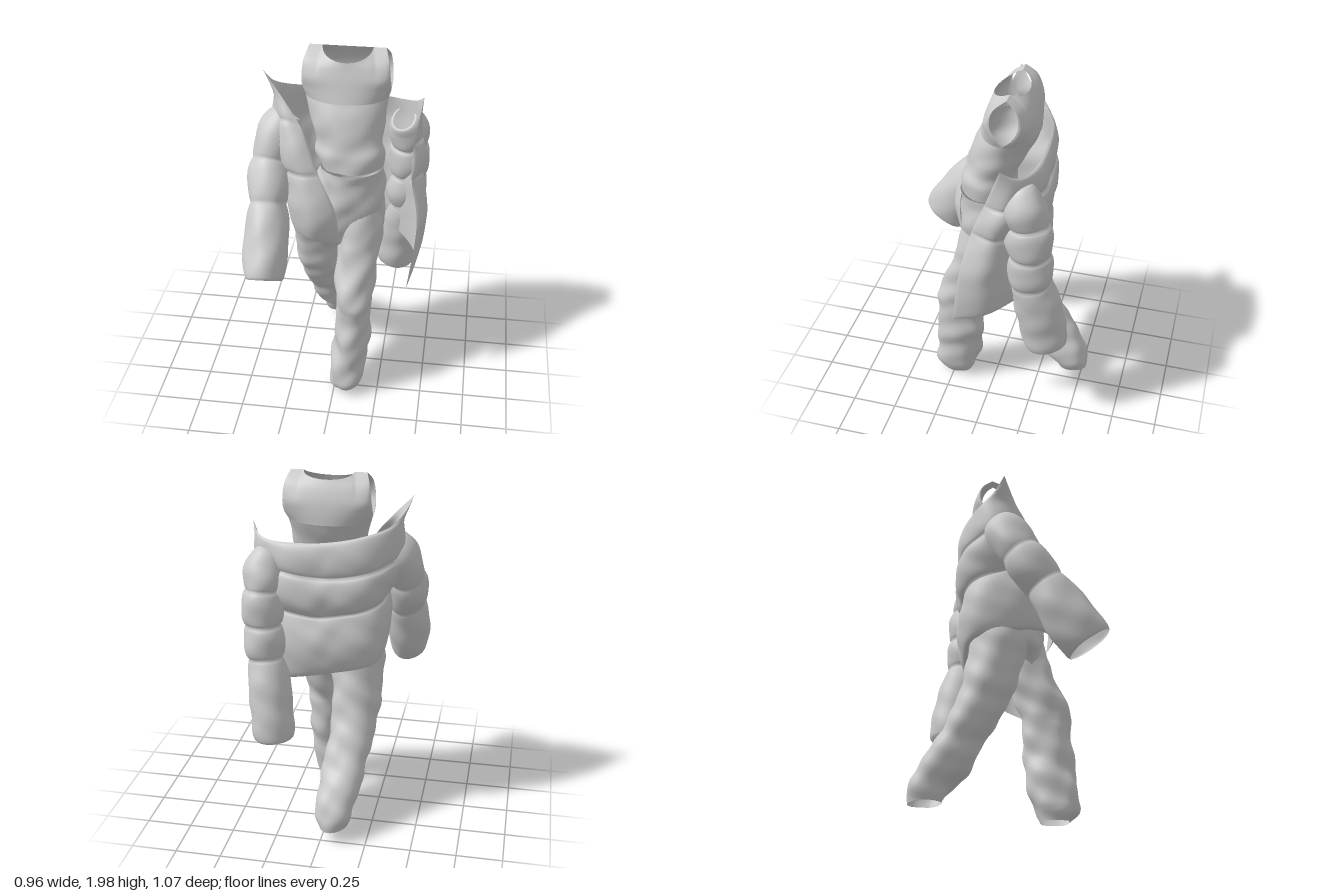
import * as THREE from 'three';

const material = new THREE.MeshStandardMaterial({ color: 0xcccccc, side: THREE.DoubleSide });

// Smooth interpolation through a list of number arrays, t from 0 to 1
function spline(list, t) {
  const n = list.length - 1, s = Math.min(t * n, n - 1e-6), i = Math.floor(s), f = s - i;
  const at = k => list[Math.max(0, Math.min(n, k))];
  const [a, b, c, d] = [at(i - 1), at(i), at(i + 1), at(i + 2)];
  return b.map((q, k) => q + 0.5 * f * (c[k] - a[k] + f * (2 * a[k] - 5 * q + 4 * c[k] - d[k] + f * (3 * (q - c[k]) + d[k] - a[k]))));
}

// Grid surface from point(u, v); push(u, v, p) moves each vertex along its normal
function surface(name, nu, nv, closed, point, push) {
  const pos = [], idx = [], uvs = [], cols = closed ? nu : nu + 1;
  for (let j = 0; j <= nv; j++) for (let i = 0; i < cols; i++) {
    pos.push(...point(i / nu, j / nv));
    uvs.push([i / nu, j / nv]);
  }
  for (let j = 0; j < nv; j++) for (let i = 0; i < nu; i++) {
    const k = (i + 1) % cols, a = j * cols + i, b = j * cols + k;
    idx.push(a, b, a + cols, b, b + cols, a + cols);
  }
  const geo = new THREE.BufferGeometry();
  geo.setAttribute('position', new THREE.Float32BufferAttribute(pos, 3));
  geo.setIndex(idx);
  geo.computeVertexNormals();
  if (push) {
    const p = geo.attributes.position, n = geo.attributes.normal, v = new THREE.Vector3(), m = new THREE.Vector3();
    uvs.forEach(([s, t], i) => {
      v.fromBufferAttribute(p, i);
      m.fromBufferAttribute(n, i);
      v.addScaledVector(m, push(s, t, v));
      p.setXYZ(i, v.x, v.y, v.z);
    });
    geo.computeVertexNormals();
  }
  const mesh = new THREE.Mesh(geo, material);
  mesh.name = name;
  return mesh;
}

// Tube through stations [x, y, z, rx, rz]; rings lie level, or square to the path when tilted
function loft(name, stations, nv, tilted, push) {
  return surface(name, 48, nv, true, (u, v) => {
    const [x, y, z, rx, rz] = spline(stations, v);
    const c = new THREE.Vector3(x, y, z), B = new THREE.Vector3(1, 0, 0), C = new THREE.Vector3(0, 0, 1);
    if (tilted) {
      const p = spline(stations, Math.max(0, v - 0.02)), q = spline(stations, Math.min(1, v + 0.02));
      const T = new THREE.Vector3(q[0] - p[0], q[1] - p[1], q[2] - p[2]).normalize();
      B.addScaledVector(T, -T.x).normalize();
      C.crossVectors(T, B);
    }
    const a = u * Math.PI * 2;
    return c.addScaledVector(B, Math.cos(a) * rx).addScaledVector(C, Math.sin(a) * rz).toArray();
  }, push);
}

// Quilted swelling between seams, given as station indices
function quilt(seams, count, v) {
  const s = v * (count - 1);
  const i = Math.max(1, seams.findIndex(k => s <= k));
  return Math.sqrt(Math.max(0, Math.sin(Math.PI * (s - seams[i - 1]) / (seams[i] - seams[i - 1]))));
}

// Cloth folds as overlapping slanted waves
const folds = (p, size) => size * (
  Math.sin(24 * p.y + 13 * p.x + 9 * p.z + 2 * Math.sin(15 * p.x)) * 0.5 +
  Math.sin(41 * p.y - 26 * p.x + 18 * p.z) * 0.35 +
  Math.sin(34 * p.x + 30 * p.z - 14 * p.y) * 0.35);

function makeTop() {
  const g = new THREE.Group();
  g.name = 'tankTop';
  g.add(loft('topBody', [
    [0.025, 1.74, -0.078, 0.222, 0.154], [0.03, 1.68, -0.05, 0.21, 0.157], [0.04, 1.6, -0.015, 0.195, 0.15],
    [0.05, 1.52, 0.015, 0.172, 0.135], [0.058, 1.46, 0.03, 0.185, 0.138], [0.065, 1.385, 0.03, 0.172, 0.145],
  ], 40, false, (u, v, p) => folds(p, 0.006) * Math.min(1, v * 3)));
  // Yokes, rows of [half width, side y, middle y, side z, middle z, roundness, neckline share]
  const yokes = {
    frontYoke: [[0.222, 1.74, 1.74, -0.078, 0.076, 1, 0], [0.235, 1.79, 1.8, -0.055, 0.058, 0.9, 0],
      [0.232, 1.86, 1.86, -0.02, 0.04, 0.75, 0], [0.222, 1.94, 1.91, -0.035, 0.022, 0.8, 0.4], [0.2, 1.995, 1.945, -0.1, 0.01, 1, 1]],
    backYoke: [[0.222, 1.74, 1.74, -0.078, -0.232, 1, 0], [0.235, 1.79, 1.8, -0.13, -0.23, 0.9, 0],
      [0.232, 1.86, 1.86, -0.165, -0.22, 0.75, 0], [0.222, 1.94, 1.92, -0.155, -0.197, 0.8, 0.4], [0.2, 1.995, 1.965, -0.1, -0.17, 1, 1]],
  };
  for (const [name, rows] of Object.entries(yokes)) {
    const side = name === 'frontYoke' ? 1 : -1;
    g.add(surface(name, 60, 24, false, (u, v) => {
      const [w, ye, ym, ze, zm, power, neck] = spline(rows, v), c = Math.cos(u * Math.PI);
      const round = Math.pow(Math.max(0, 1 - c * c), power / 2), oval = Math.sqrt(Math.max(0, 1 - (c / 0.66) ** 2));
      const s = THREE.MathUtils.lerp(round, oval, neck);
      return [0.025 - side * w * c, ye + (ym - ye) * s, ze + (zm - ze) * s];
    }));
  }
  return g;
}

function makeTrousers() {
  const g = new THREE.Group();
  g.name = 'trousers';
  const wrinkle = size => (u, v, p) => folds(p, size) * Math.min(1, v * 5);
  g.add(loft('seat', [
    [0.065, 1.375, 0.03, 0.168, 0.155], [0.06, 1.32, 0.025, 0.178, 0.16], [0.035, 1.18, 0.01, 0.215, 0.182],
    [0.0, 1.04, -0.005, 0.245, 0.185], [-0.005, 0.95, -0.005, 0.225, 0.165], [-0.005, 0.89, -0.01, 0.14, 0.12],
  ], 40, false, wrinkle(0.01)));
  g.add(loft('leftLeg', [
    [0.12, 1.14, 0.045, 0.1, 0.12], [0.12, 1.03, 0.065, 0.122, 0.135], [0.117, 0.9, 0.09, 0.12, 0.135],
    [0.1, 0.66, 0.185, 0.105, 0.14], [0.105, 0.56, 0.19, 0.1, 0.135], [0.1, 0.45, 0.2, 0.097, 0.135],
    [0.09, 0.3, 0.21, 0.1, 0.135], [0.072, 0.14, 0.235, 0.103, 0.13], [0.065, 0.07, 0.24, 0.09, 0.115],
    [0.06, 0.015, 0.235, 0.065, 0.08],
  ], 90, false, wrinkle(0.011)));
  g.add(loft('rightLeg', [
    [-0.11, 1.12, -0.03, 0.12, 0.14], [-0.125, 1.02, -0.045, 0.142, 0.165], [-0.13, 0.8, -0.088, 0.14, 0.15],
    [-0.125, 0.6, -0.155, 0.13, 0.14], [-0.1, 0.42, -0.26, 0.122, 0.13], [-0.075, 0.26, -0.355, 0.118, 0.143],
    [-0.06, 0.16, -0.425, 0.103, 0.112], [-0.06, 0.09, -0.44, 0.08, 0.088],
  ], 80, false, wrinkle(0.008)));
  return g;
}

function makeJacket() {
  const g = new THREE.Group();
  g.name = 'openJacket';
  // Rows run from the right front edge, around the back, to the left front edge
  const rows = [
    [[-0.41, 1.87, -0.02], [-0.37, 1.79, -0.08], [-0.3, 1.73, -0.17], [-0.15, 1.69, -0.25], [0.03, 1.66, -0.27],
      [0.2, 1.65, -0.26], [0.32, 1.65, -0.23], [0.39, 1.67, -0.18], [0.43, 1.72, -0.12]],
    [[-0.2, 1.62, 0.1], [-0.29, 1.64, 0.08], [-0.36, 1.57, -0.06], [-0.2, 1.5, -0.25], [0.03, 1.47, -0.28],
      [0.22, 1.49, -0.28], [0.35, 1.5, -0.2], [0.42, 1.48, -0.13], [0.39, 1.48, -0.03]],
    [[-0.09, 1.38, 0.19], [-0.19, 1.38, 0.2], [-0.28, 1.36, 0.08], [-0.23, 1.3, -0.19], [0.03, 1.25, -0.26],
      [0.23, 1.26, -0.24], [0.36, 1.28, -0.15], [0.435, 1.3, -0.08], [0.39, 1.3, 0.04]],
    [[0, 1.18, 0.22], [-0.13, 1.16, 0.25], [-0.24, 1.15, 0.11], [-0.235, 1.11, -0.18], [0.03, 1.08, -0.26],
      [0.24, 1.07, -0.23], [0.36, 1.05, -0.13], [0.45, 1.05, -0.03], [0.43, 1.05, 0.1]],
    [[0.02, 0.97, 0.2], [-0.13, 1, 0.23], [-0.23, 1, 0.1], [-0.22, 0.96, -0.18], [0.03, 0.91, -0.24],
      [0.24, 0.86, -0.22], [0.36, 0.82, -0.13], [0.42, 0.77, -0.02], [0.39, 0.68, 0.16]],
  ];
  const point = (u, v) => spline(rows.map(r => spline(r, u)), v);
  g.add(surface('jacketShell', 80, 80, false, point, (u, v, p) =>
    (quilt([0, 1, 2, 4], 5, v) * (v < 0.25 ? 0.025 : 0.043) + folds(p, 0.006) * Math.sin(Math.PI * v)) * Math.pow(Math.max(0, Math.sin(Math.PI * u)), 0.5)));
  g.add(surface('jacketLining', 60, 40, false, point, (u, v, p) =>
    (folds(p, 0.006) - 0.006) * Math.sin(Math.PI * u) * Math.sin(Math.PI * v)));

  // Sleeves: a slumped shoulder and short puffed bands above a long open cuff band
  const sleeves = {
    rightSleeve: {
      seams: [0, 2, 3, 5],
      path: [[-0.29, 1.62, -0.04, 0.07, 0.08], [-0.335, 1.53, 0.0, 0.085, 0.1], [-0.37, 1.39, 0.07, 0.088, 0.1],
        [-0.363, 1.2, 0.2, 0.092, 0.1], [-0.36, 1.02, 0.31, 0.096, 0.115], [-0.355, 0.85, 0.425, 0.095, 0.125]],
    },
    leftSleeve: {
      seams: [0, 2, 3, 4, 6],
      path: [[0.32, 1.56, -0.18, 0.06, 0.07], [0.345, 1.49, -0.22, 0.085, 0.085], [0.355, 1.38, -0.25, 0.088, 0.1],
        [0.35, 1.19, -0.26, 0.09, 0.1], [0.338, 1.0, -0.27, 0.092, 0.1], [0.31, 0.78, -0.315, 0.092, 0.105],
        [0.288, 0.545, -0.35, 0.098, 0.108]],
    },
  };
  for (const [name, { seams, path }] of Object.entries(sleeves)) {
    g.add(loft(name, path, 96, true, (u, v, p) => quilt(seams, path.length, v) * 0.025 + folds(p, 0.005)));
  }
  return g;
}

export function createModel() {
  const model = new THREE.Group();
  model.name = 'layeredOutfit';
  model.add(makeTop(), makeTrousers(), makeJacket());
  return model;
}
